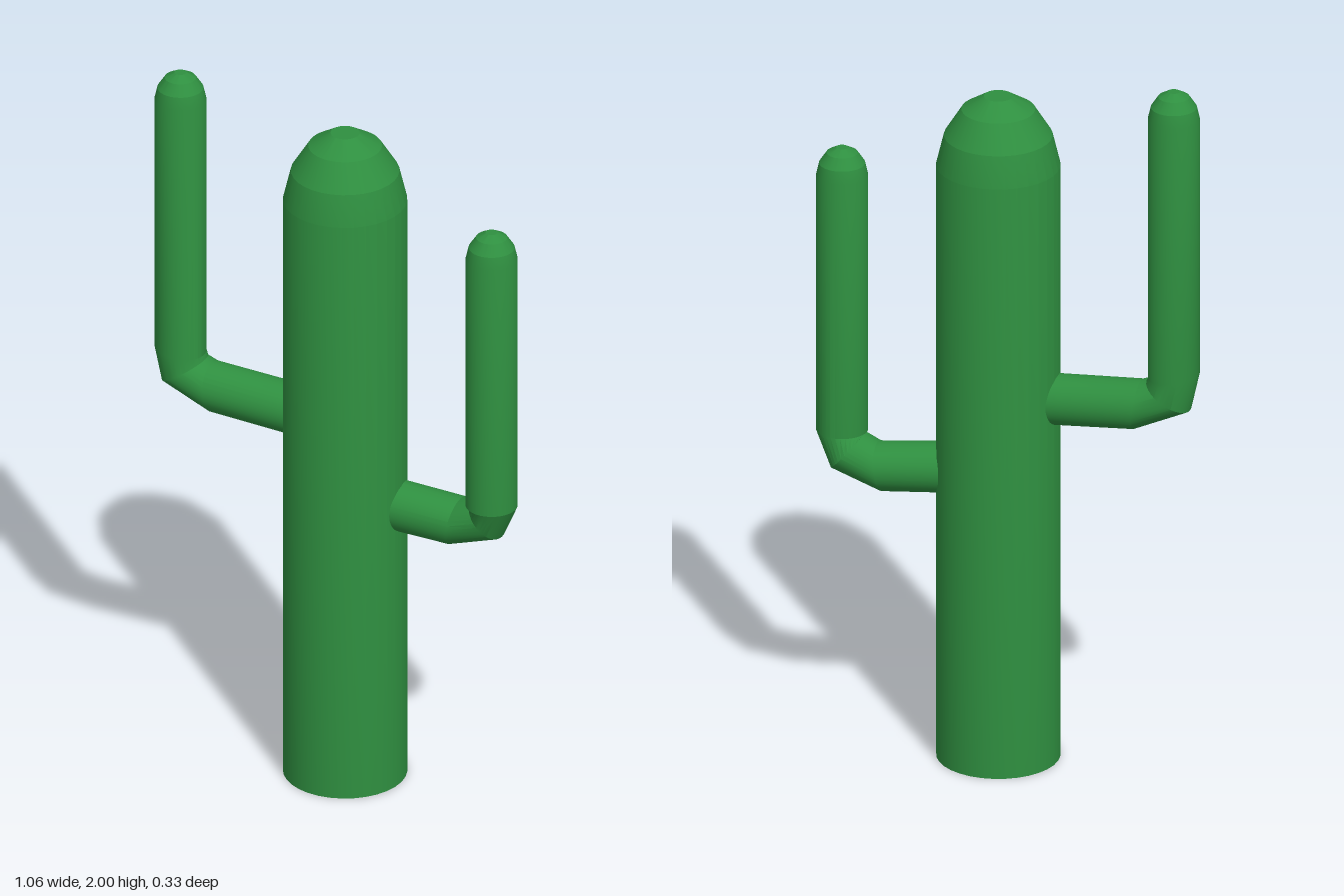
import * as THREE from 'three';
import { toCreasedNormals } from 'three/addons/utils/BufferGeometryUtils.js';

const SIDES = 32;
const CREASE = 0.3;
const ARM_R = 0.07;

// Skin a row of rings; each ring is { c: centre, u: in-plane half axis, w: depth half axis }.
function loft(rings) {
  const pos = [], index = [];
  for (const { c, u, w } of rings) {
    for (let j = 0; j < SIDES; j++) {
      const a = (j / SIDES) * Math.PI * 2;
      pos.push(c[0] + u[0] * Math.cos(a), c[1] + u[1] * Math.cos(a), c[2] + w * Math.sin(a));
    }
  }
  for (let i = 0; i < rings.length - 1; i++) {
    for (let j = 0; j < SIDES; j++) {
      const k = (j + 1) % SIDES;
      const a = i * SIDES + j, b = i * SIDES + k, d = a + SIDES, e = b + SIDES;
      index.push(a, b, e, a, e, d);
    }
  }
  const geo = new THREE.BufferGeometry();
  geo.setAttribute('position', new THREE.Float32BufferAttribute(pos, 3));
  geo.setIndex(index);
  return toCreasedNormals(geo, CREASE);
}

// Bent arm: elbow rings [x, y, z, ux, uy] followed by an upright shaft and rounded tip.
function armGeometry(side, elbow, tipY) {
  const rings = elbow.map(([x, y, z, ux, uy]) => ({ c: [x, y, z], u: [ux, uy], w: side * ARM_R }));
  const x = elbow[elbow.length - 1][0];
  const tip = [[0.07, 0.08], [0.062, 0.045], [0.042, 0.015], [0.016, 0], [0, 0]];
  for (const [r, drop] of tip) {
    rings.push({ c: [x, tipY - drop, 0], u: [-side * r, 0], w: side * r });
  }
  return loft(rings);
}

export function createModel() {
  const group = new THREE.Group();
  group.name = 'cactus';
  const green = new THREE.MeshStandardMaterial({ color: 0x2f8f40 });

  const add = (name, geometry) => {
    const mesh = new THREE.Mesh(geometry, green);
    mesh.name = name;
    group.add(mesh);
    return mesh;
  };

  // Trunk with a stepped dome and small flat crown
  const profile = [
    [0, 0], [0.167, 0], [0.167, 1.727], [0.146, 1.815], [0.099, 1.89], [0.039, 1.928], [0, 1.928],
  ].map(([r, y]) => new THREE.Vector2(r, y));
  const trunkGeo = new THREE.LatheGeometry(profile, SIDES);
  trunkGeo.deleteAttribute('normal');
  add('trunk', toCreasedNormals(trunkGeo, CREASE)).position.x = 0.025;

  // Left arm, lower, its elbow swinging slightly backward
  add('leftArm', armGeometry(1, [
    [0.1, 0.835, -0.01, 0.004, 0.07],
    [0.345, 0.816, -0.025, 0.01, 0.067],
    [0.438, 0.85, -0.018, -0.044, 0.05],
    [0.46, 0.9, 0, -0.07, 0],
  ], 1.725));

  // Right arm, higher and longer
  add('rightArm', armGeometry(-1, [
    [-0.06, 1.055, 0, 0.005, 0.07],
    [-0.365, 1.073, 0, -0.007, 0.069],
    [-0.45, 1.11, 0, 0.06, 0.038],
    [-0.464, 1.17, 0, 0.07, -0.01],
  ], 2));

  return group;
}
